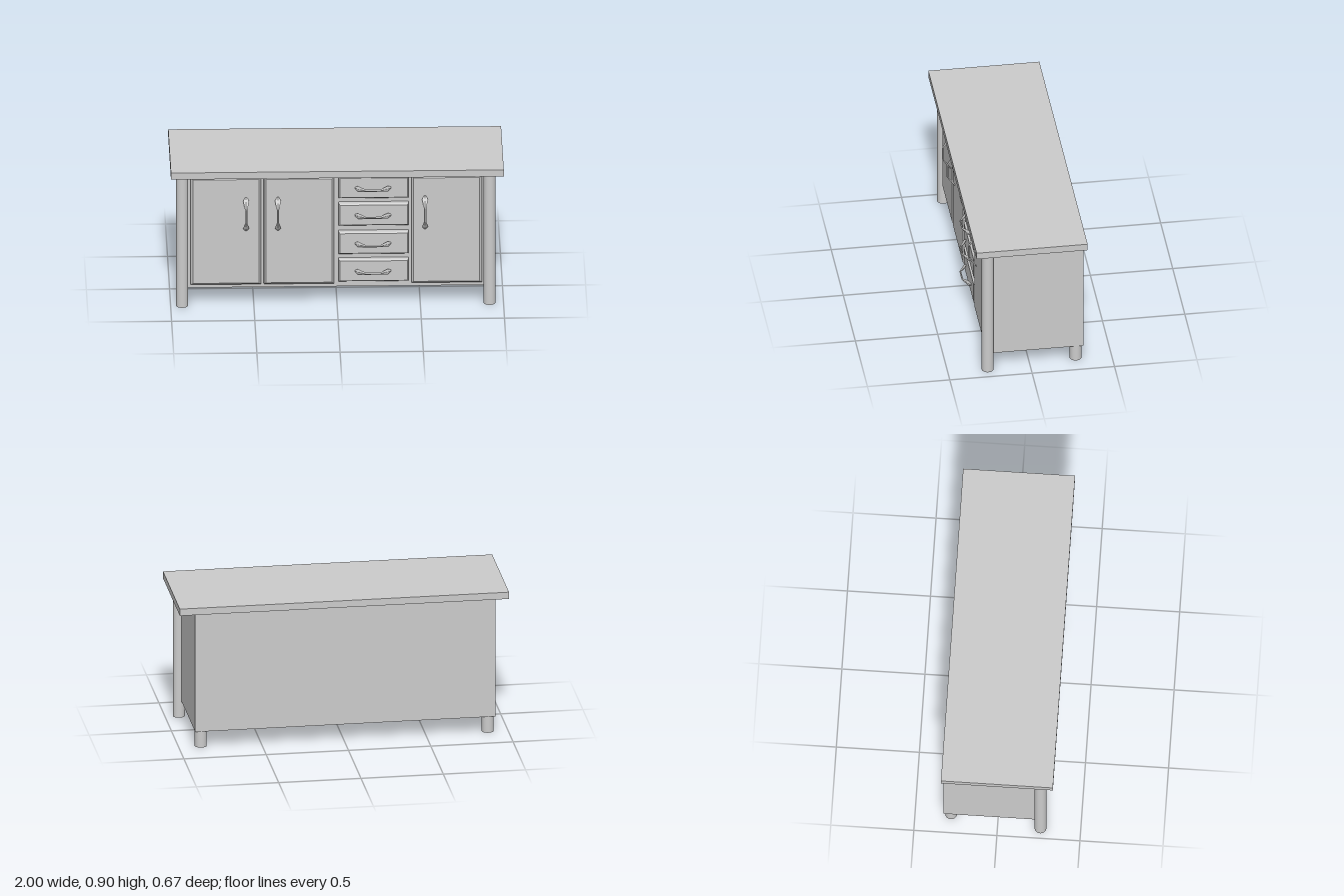
import * as THREE from 'three';

const material = new THREE.MeshStandardMaterial({ color: 0xcccccc });
const facetMaterial = new THREE.MeshStandardMaterial({ color: 0xcccccc, flatShading: true });

const BODY_FRONT = 0.232;
const PANEL_FRONT = 0.27;

function add(parent, name, geometry, x = 0, y = 0, z = 0, mat = material) {
  const mesh = new THREE.Mesh(geometry, mat);
  mesh.name = name;
  mesh.position.set(x, y, z);
  parent.add(mesh);
  return mesh;
}

// Box given by its limits
function addBox(parent, name, x0, x1, y0, y1, z0, z1) {
  const geometry = new THREE.BoxGeometry(x1 - x0, y1 - y0, z1 - z0);
  return add(parent, name, geometry, (x0 + x1) / 2, (y0 + y1) / 2, (z0 + z1) / 2);
}

// Slab whose front edges are chamfered
function addPanel(parent, name, x0, x1, y0, y1, bevel) {
  const w = x1 - x0, h = y1 - y0, d = PANEL_FRONT - BODY_FRONT;
  const geometry = new THREE.BoxGeometry(w, h, d, 1, 1, 2);
  const p = geometry.attributes.position;
  for (let i = 0; i < p.count; i++) {
    if (p.getZ(i) > d / 4) {
      p.setX(i, Math.sign(p.getX(i)) * (w / 2 - bevel));
      p.setY(i, Math.sign(p.getY(i)) * (h / 2 - bevel));
    } else if (p.getZ(i) > -d / 4) {
      p.setZ(i, d / 2 - 0.012);
    }
  }
  add(parent, name, geometry, (x0 + x1) / 2, (y0 + y1) / 2, (BODY_FRONT + PANEL_FRONT) / 2, facetMaterial);
}

// Bowed pull along x: diamond sections that flare at both ends
function handleGeometry() {
  // [distance along, distance out, half width]
  const half = [[0.108, 0.001, 0.006], [0.09, 0.014, 0.018], [0.043, 0.045, 0.007]];
  const stations = [
    ...half.map(([u, w, r]) => [-u, w, r]),
    ...half.slice().reverse(),
  ];
  const t = 0.005;
  const positions = [], index = [];
  for (const [u, w, r] of stations) {
    positions.push(u, r, w, u, 0, w + t, u, -r, w, u, 0, w - t);
  }
  const last = (stations.length - 1) * 4;
  for (let s = 0; s < last; s += 4) {
    for (let k = 0; k < 4; k++) {
      const a = s + k, b = s + (k + 1) % 4;
      index.push(a, b, a + 4, b, b + 4, a + 4);
    }
  }
  index.push(0, 2, 1, 0, 3, 2, last, last + 1, last + 2, last, last + 2, last + 3);
  const geometry = new THREE.BufferGeometry();
  geometry.setAttribute('position', new THREE.Float32BufferAttribute(positions, 3));
  geometry.setIndex(index);
  geometry.computeVertexNormals();
  return geometry;
}

export function createModel() {
  const group = new THREE.Group();
  group.name = 'sideboard';

  // Worktop and carcass
  addBox(group, 'worktop', -1, 1, 0.855, 0.898, -0.337, 0.337);
  addBox(group, 'cabinetBody', -0.92, 0.905, 0.105, 0.855, -0.327, BODY_FRONT);

  // Tall front posts and short back feet
  const post = new THREE.CylinderGeometry(0.036, 0.036, 0.855, 32);
  const foot = new THREE.CylinderGeometry(0.036, 0.036, 0.105, 32);
  for (const x of [-0.932, 0.916]) add(group, 'frontLeg', post, x, 0.4275, 0.258);
  for (const x of [-0.878, 0.865]) add(group, 'backLeg', foot, x, 0.0525, -0.283);

  // Doors with upright handles
  const handle = handleGeometry();
  const doors = [[-0.88, -0.457, -0.547], [-0.44, -0.017, -0.356], [0.447, 0.87, 0.528]];
  for (const [x0, x1, handleX] of doors) {
    addPanel(group, 'door', x0, x1, 0.135, 0.835, 0.013);
    add(group, 'doorHandle', handle, handleX, 0.598, PANEL_FRONT, facetMaterial).rotation.z = Math.PI / 2;
  }

  // Drawers with level handles
  const drawers = [[0.69, 0.832], [0.512, 0.656], [0.327, 0.471], [0.148, 0.292]];
  for (const [y0, y1] of drawers) {
    addPanel(group, 'drawer', 0.01, 0.43, y0, y1, 0.008);
    add(group, 'drawerHandle', handle, 0.215, (y0 + y1) / 2, PANEL_FRONT, facetMaterial);
  }

  return group;
}
